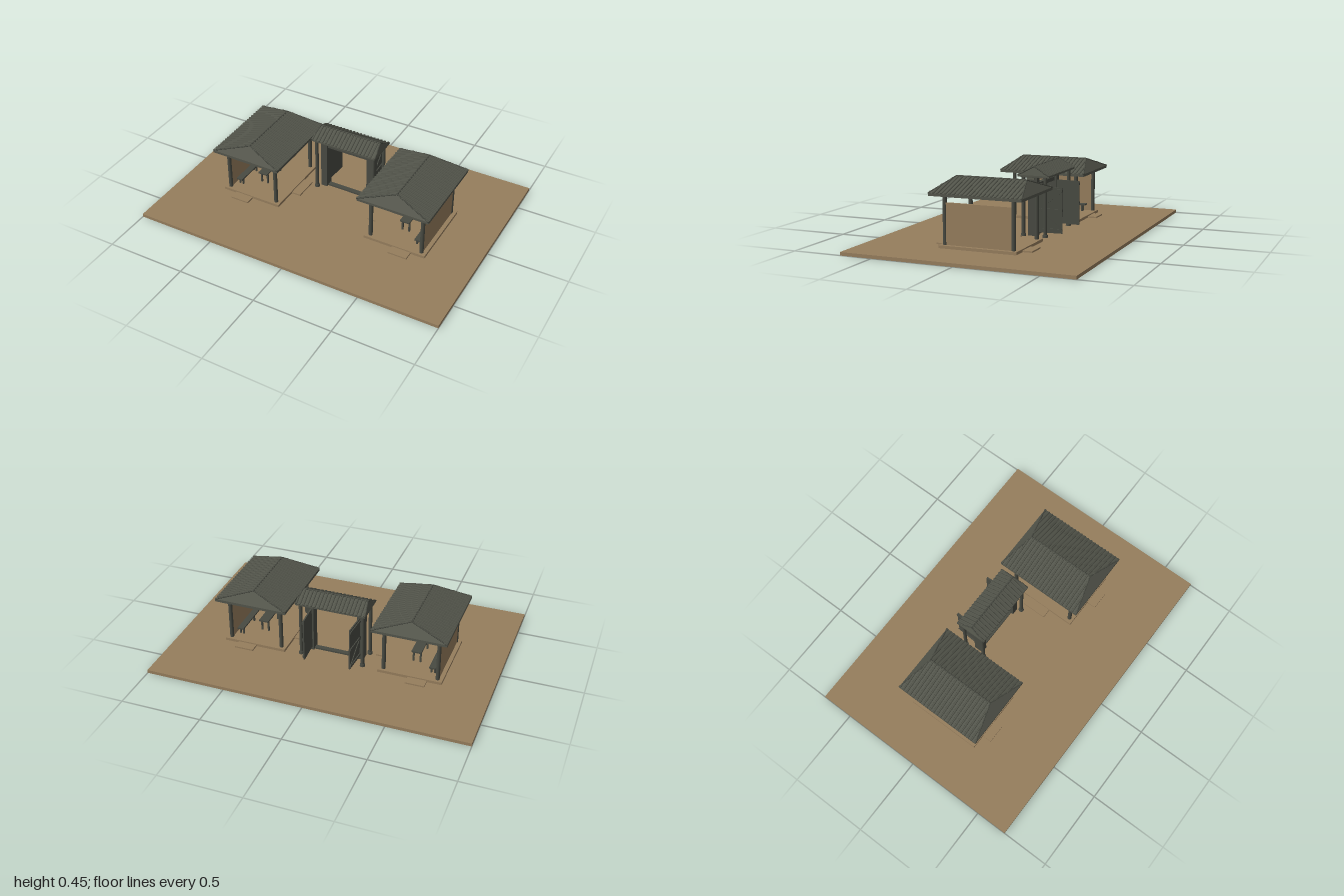
import * as THREE from 'three';

const mat = (name, color) => Object.assign(new THREE.MeshStandardMaterial({ color }), { name });
const earth = mat('tan earth', 0x967e5d);
const tile = mat('dark roof tile', 0x53554b);
const wood = mat('weathered timber', 0x484a42);
const trim = mat('light timber', 0x5c5d51);

function add(parent, name, geo, m, x = 0, y = 0, z = 0) {
  const mesh = new THREE.Mesh(geo, m);
  mesh.name = name;
  mesh.position.set(x, y, z);
  parent.add(mesh);
  return mesh;
}

// Box given by its limits on each axis
function block(parent, name, m, [x0, x1], [y0, y1], [z0, z1]) {
  return add(parent, name, new THREE.BoxGeometry(x1 - x0, y1 - y0, z1 - z0), m,
    (x0 + x1) / 2, (y0 + y1) / 2, (z0 + z1) / 2);
}

// Round bar between two points
function bar(parent, name, m, a, b, r, sides = 6) {
  const d = b.clone().sub(a);
  const mesh = add(parent, name, new THREE.CylinderGeometry(r, r, d.length(), sides), m);
  mesh.position.copy(a).add(b).multiplyScalar(0.5);
  mesh.quaternion.setFromUnitVectors(new THREE.Vector3(0, 1, 0), d.normalize());
  return mesh;
}

// Short-hipped roof with its ridge along z: half width w, half length l, half ridge r
function tiledRoof({ w, l, r, y0, yE, yR, ribs, ribR }) {
  const roof = new THREE.Group();
  const V = (x, y, z) => new THREE.Vector3(x, y, z);
  const pts = [];
  const tri = (a, b, c) => [a, b, c].forEach((p) => pts.push(p.x, p.y, p.z));
  const quad = (a, b, c, d) => { tri(a, b, c); tri(a, c, d); };
  const ring = (y) => [V(-w, y, l), V(w, y, l), V(w, y, -l), V(-w, y, -l)];
  const lo = ring(y0), up = ring(yE);
  const front = V(0, yR, r), back = V(0, yR, -r);
  for (let i = 0; i < 4; i++) {
    const j = (i + 1) % 4;
    quad(lo[i], lo[j], up[j], up[i]);
  }
  quad(lo[3], lo[2], lo[1], lo[0]);
  tri(up[0], up[1], front);
  quad(up[1], up[2], back, front);
  tri(up[2], up[3], back);
  quad(up[3], up[0], front, back);
  const geo = new THREE.BufferGeometry();
  geo.setAttribute('position', new THREE.Float32BufferAttribute(pts, 3));
  geo.computeVertexNormals();
  add(roof, 'roofBody', geo, tile);

  // Tile ribs, cut short where they meet the hips
  for (let i = 0; i < ribs; i++) {
    const z = (l - ribR) * (2 * i / (ribs - 1) - 1);
    const f = Math.min(1, (l - Math.abs(z)) / (l - r));
    for (const s of [-1, 1]) {
      bar(roof, 'tileRib', tile, V(s * w, yE, z), V(s * w * (1 - f), yE + (yR - yE) * f, z), ribR);
    }
  }
  // Ridge and hip caps
  bar(roof, 'ridgeCap', wood, front, back, 0.005);
  for (const c of up) bar(roof, 'hipCap', wood, c, c.z > 0 ? front : back, 0.004);
  return roof;
}

// Pavilion for the +x side; its wall stands on the outer side
function pavilion() {
  const g = new THREE.Group();
  block(g, 'plinth', earth, [0.30, 0.70], [0.02, 0.037], [-0.24, 0.24]);
  block(g, 'innerStep', earth, [0.24, 0.30], [0.02, 0.029], [-0.08, 0.075]);
  for (const s of [-1, 1]) {
    block(g, 'endStep', earth, [0.49, 0.61], [0.02, 0.029], s > 0 ? [0.24, 0.298] : [-0.298, -0.24]);
    for (const x of [0.332, 0.668]) {
      add(g, 'post', new THREE.CylinderGeometry(0.0125, 0.0125, 0.29, 12), wood, x, 0.18, s * 0.212);
    }
    block(g, 'endBeam', wood, [0.31, 0.69], [0.318, 0.332], [s * 0.212 - 0.009, s * 0.212 + 0.009]);
  }
  for (const x of [0.332, 0.668]) {
    block(g, 'sideBeam', wood, [x - 0.009, x + 0.009], [0.318, 0.332], [-0.24, 0.24]);
  }
  block(g, 'outerWall', earth, [0.661, 0.675], [0.037, 0.28], [-0.202, 0.202]);

  const roof = tiledRoof({ w: 0.23, l: 0.285, r: 0.22, y0: 0.322, yE: 0.338, yR: 0.408, ribs: 23, ribR: 0.006 });
  roof.name = 'pavilionRoof';
  roof.position.x = 0.5;
  g.add(roof);
  add(g, 'lamp', new THREE.SphereGeometry(0.008, 12, 8), wood, 0.5, 0.316, 0);

  // Table and long bench
  const stand = (name, x, half, top, len, legZ) => {
    block(g, name + 'Top', wood, [x - half, x + half], [top - 0.009, top], [-len, len]);
    for (const dx of [-1, 1]) for (const z of legZ) {
      block(g, name + 'Leg', wood, [x + dx * (half - 0.009) - 0.005, x + dx * (half - 0.009) + 0.005],
        [0.037, top - 0.008], [z - 0.005, z + 0.005]);
    }
  };
  stand('table', 0.5, 0.031, 0.12, 0.10, [-0.075, 0.075]);
  stand('bench', 0.624, 0.02, 0.086, 0.18, [-0.155, 0, 0.155]);
  return g;
}

// One half of the gate on the +x side, with its leaf swung back
function gateSide() {
  const g = new THREE.Group();
  block(g, 'mainPost', wood, [0.14, 0.182], [0.02, 0.39], [-0.152, -0.095]);
  for (const z of [-0.072, -0.212]) {
    add(g, 'outerPost', new THREE.CylinderGeometry(0.011, 0.011, 0.375, 12), wood, 0.198, 0.207, z);
    add(g, 'postFoot', new THREE.CylinderGeometry(0.015, 0.017, 0.016, 12), wood, 0.198, 0.028, z);
  }
  block(g, 'crossBeam', wood, [0.19, 0.206], [0.375, 0.39], [-0.235, -0.055]);

  const leaf = new THREE.Group();
  leaf.name = 'gateLeaf';
  leaf.position.set(0.155, 0, -0.15);
  leaf.rotation.y = 0.06;
  block(leaf, 'leafBoard', wood, [-0.004, 0.004], [0.04, 0.315], [-0.152, 0]);
  for (const y of [0.06, 0.18, 0.298]) {
    block(leaf, 'leafRail', wood, [0.003, 0.010], [y - 0.007, y + 0.007], [-0.152, 0]);
  }
  for (const [y, s] of [[0.12, -1], [0.239, 1]]) {
    const brace = add(leaf, 'leafBrace', new THREE.BoxGeometry(0.006, 0.011, 0.18), wood, 0.006, y, -0.076);
    brace.rotation.x = s * 0.66;
  }
  g.add(leaf);
  return g;
}

export function createModel() {
  const model = new THREE.Group();
  block(model, 'ground', earth, [-1, 1], [0, 0.02], [-0.7, 0.7]);

  // Mirrored pavilions and gate halves
  for (const s of [1, -1]) {
    const side = s > 0 ? 'left' : 'right';
    const p = pavilion(), q = gateSide();
    p.name = side + 'Pavilion';
    q.name = side + 'GateSide';
    p.scale.x = q.scale.x = s;
    model.add(p, q);
  }

  // Gate beams, threshold and roof
  const gate = new THREE.Group();
  gate.name = 'gateTop';
  block(gate, 'lintel', trim, [-0.185, 0.185], [0.36, 0.388], [-0.135, -0.085]);
  block(gate, 'eaveBeamFront', wood, [-0.21, 0.21], [0.372, 0.386], [-0.081, -0.063]);
  block(gate, 'eaveBeamBack', wood, [-0.21, 0.21], [0.372, 0.386], [-0.221, -0.203]);
  block(gate, 'lowerBeam', wood, [-0.145, 0.145], [0.312, 0.335], [-0.14, -0.11]);
  block(gate, 'threshold', wood, [-0.145, 0.145], [0.02, 0.03], [-0.14, -0.11]);
  const roof = tiledRoof({ w: 0.1, l: 0.22, r: 0.205, y0: 0.38, yE: 0.39, yR: 0.443, ribs: 19, ribR: 0.006 });
  roof.name = 'gateRoof';
  roof.rotation.y = Math.PI / 2;
  roof.position.z = -0.143;
  gate.add(roof);
  model.add(gate);
  return model;
}
